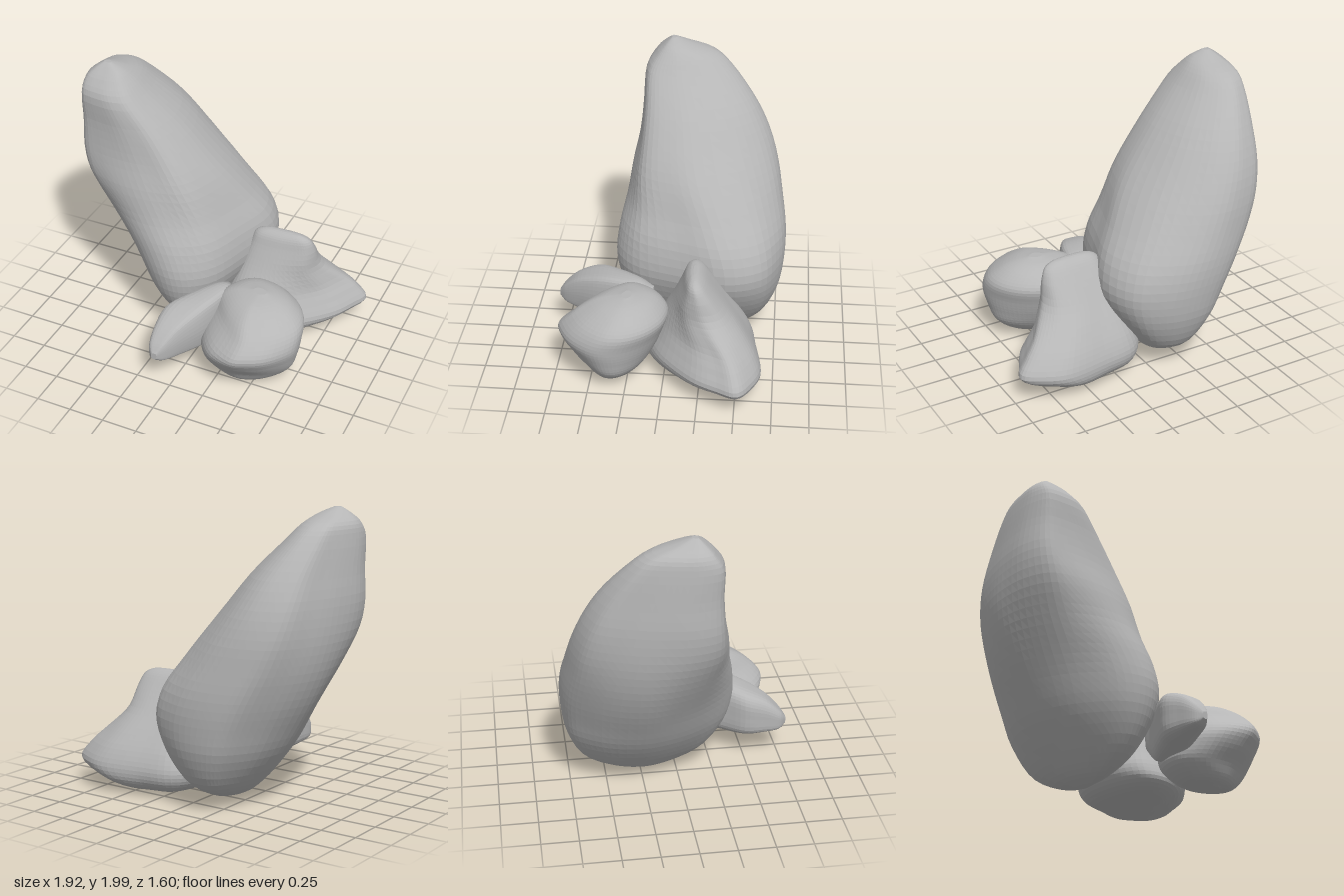
import * as THREE from 'three';

const stone = new THREE.MeshStandardMaterial({ color: 0xb6b6b6, flatShading: true });
stone.name = 'grey stone';

// Plan outlines in a -1..1 square, running from +a towards +b.
const leaningLow = [
  [1, -0.33], [0.84, 0.18], [0.63, 0.68], [0.32, 0.95], [0, 1], [-0.38, 0.87], [-0.7, 0.56], [-0.92, 0.2],
  [-1, -0.1], [-0.88, -0.5], [-0.64, -0.8], [-0.37, -0.95], [0, -1], [0.42, -0.93], [0.83, -0.75],
];
const leaningHigh = [
  [1, 0.15], [0.93, 0.58], [0.72, 0.89], [0.32, 0.99], [-0.15, 1], [-0.55, 0.96], [-0.86, 0.84], [-1, 0.48],
  [-0.94, 0], [-0.82, -0.42], [-0.63, -0.79], [-0.36, -0.95], [0, -1], [0.42, -0.85], [0.8, -0.45],
];
const peakedLow = [
  [1, -0.62], [0.9, -0.28], [0.67, 0.2], [0.15, 0.77], [-0.35, 1], [-0.8, 0.9],
  [-1, 0.4], [-0.97, -0.3], [-0.72, -0.76], [-0.2, -0.9], [0.38, -1], [0.75, -0.86],
];
const peakedHigh = [
  [1, -0.3], [0.97, 0.15], [0.75, 0.62], [0.2, 0.92], [-0.35, 1], [-0.8, 0.85],
  [-1, 0.3], [-0.95, -0.3], [-0.7, -0.76], [-0.2, -0.92], [0.38, -1], [0.82, -0.8],
];
const roundedLow = [
  [1, -0.05], [0.93, 0.3], [0.6, 0.7], [0.2, 0.93], [-0.15, 1], [-0.62, 0.84], [-0.95, 0.4],
  [-1, 0], [-0.9, -0.45], [-0.68, -0.82], [-0.3, -1], [0.2, -0.94], [0.6, -0.72], [0.88, -0.4],
];
const roundedHigh = [
  [1, -0.05], [0.95, 0.3], [0.66, 0.7], [0.3, 0.93], [0, 0.98], [-0.46, 0.66], [-0.82, 0.25],
  [-1, -0.1], [-0.88, -0.5], [-0.65, -0.82], [-0.3, -1], [0.2, -0.94], [0.6, -0.72], [0.88, -0.4],
];
const slabOutline = [
  [1, 0.1], [0.95, 0.7], [0.7, 0.97], [0, 0.98], [-0.7, 0.85], [-0.95, 0.5],
  [-1, -0.1], [-0.92, -0.7], [-0.6, -0.95], [0, -1], [0.7, -0.85], [0.93, -0.5],
];

// Lofts a closed boulder through rows of [h, aMin, aMax, bMin, bMax].
// The low outline changes into the high one between the two blend heights.
// along 'y': a = x, b = z, rows rise. along 'z': a = x, b = y, rows run front to back.
function boulder(name, low, high, rows, { along = 'y', blend = [0, 1], ripple = 0, rings = 36, sides = 60 } = {}) {
  const spline = (points, closed) => new THREE.CatmullRomCurve3(points, closed, 'catmullrom', 0.5);
  const widths = spline(rows.map(([h, a0, a1]) => new THREE.Vector3(h, a0, a1)), false);
  const depths = spline(rows.map(([h, , , b0, b1]) => new THREE.Vector3(h, b0, b1)), false);
  const [lowLoop, highLoop] = [low, high].map((o) => spline(o.map(([a, b]) => new THREE.Vector3(a, b, 0)), true));
  const pos = [], index = [];
  const put = (a, b, h) => (along === 'y' ? pos.push(a, h, b) : pos.push(a, b, h));

  for (let i = 0; i <= rings; i++) {
    const { x: h, y: a0, z: a1 } = widths.getPoint(i / rings);
    const { y: b0, z: b1 } = depths.getPoint(i / rings);
    const mix = THREE.MathUtils.smoothstep(h, blend[0], blend[1]);
    for (let j = 0; j < sides; j++) {
      const t = (j / sides) * Math.PI * 2;
      const p = lowLoop.getPoint(j / sides).lerp(highLoop.getPoint(j / sides), mix);
      // shallow lengthwise grooves and uneven bands
      const s = 1 + ripple * (Math.sin(7 * t + i * 0.12) * 0.6 + Math.sin(3 * t - i * 0.45) * 0.4);
      put((a0 + a1) / 2 + ((a1 - a0) / 2) * p.x * s, (b0 + b1) / 2 + ((b1 - b0) / 2) * p.y * s, h);
    }
  }
  for (let i = 0; i < rings; i++) {
    for (let j = 0; j < sides; j++) {
      const a = i * sides + j, d = i * sides + ((j + 1) % sides);
      index.push(a, a + sides, d + sides, a, d + sides, d);
    }
  }
  // close both ends
  const last = rings * sides, n = pos.length / 3;
  for (const r of [rows[0], rows[rows.length - 1]]) put((r[1] + r[2]) / 2, (r[3] + r[4]) / 2, r[0]);
  for (let j = 0; j < sides; j++) {
    const k = (j + 1) % sides;
    index.push(n, j, k, n + 1, last + k, last + j);
  }

  const geometry = new THREE.BufferGeometry();
  geometry.setAttribute('position', new THREE.Float32BufferAttribute(pos, 3));
  geometry.setIndex(index);
  geometry.computeVertexNormals();
  const mesh = new THREE.Mesh(geometry, stone);
  mesh.name = name;
  return mesh;
}

export function createModel() {
  const group = new THREE.Group();
  group.name = 'rockCluster';

  // tall stone leaning to the right
  group.add(boulder('leaningStone', leaningLow, leaningHigh, [
    [0.04, -0.19, -0.12, -0.28, -0.14],
    [0.09, -0.29, -0.04, -0.49, 0.03],
    [0.2, -0.40, 0.06, -0.67, 0.21],
    [0.4, -0.56, 0.20, -0.77, 0.34],
    [0.6, -0.68, 0.28, -0.80, 0.39],
    [0.8, -0.79, 0.25, -0.80, 0.37],
    [1.0, -0.88, 0.13, -0.77, 0.32],
    [1.2, -0.94, 0.0, -0.73, 0.29],
    [1.4, -0.96, -0.15, -0.66, 0.25],
    [1.6, -0.95, -0.31, -0.55, 0.23],
    [1.8, -0.94, -0.50, -0.39, 0.22],
    [1.9, -0.92, -0.59, -0.27, 0.16],
    [1.96, -0.86, -0.66, -0.10, 0.10],
    [2.0, -0.80, -0.75, 0.01, 0.05],
  ], { blend: [0.6, 1.45], ripple: 0.01, rings: 44 }));

  // peaked stone at the back left, with a low pointed corner
  group.add(boulder('peakedStone', peakedLow, peakedHigh, [
    [0.01, 0.30, 0.50, -0.36, -0.10],
    [0.04, 0.14, 0.64, -0.54, 0.04],
    [0.1, 0.04, 0.82, -0.64, 0.13],
    [0.19, 0.0, 0.96, -0.67, 0.12],
    [0.3, 0.03, 0.90, -0.63, 0.07],
    [0.42, 0.08, 0.79, -0.55, 0.02],
    [0.56, 0.13, 0.68, -0.44, -0.05],
    [0.7, 0.18, 0.65, -0.34, -0.11],
    [0.78, 0.22, 0.62, -0.28, -0.14],
    [0.815, 0.28, 0.56, -0.24, -0.17],
    [0.825, 0.36, 0.48, -0.215, -0.195],
  ], { blend: [0.35, 0.65] }));

  // rounded stone at the front left
  group.add(boulder('roundedStone', roundedLow, roundedHigh, [
    [0.01, 0.37, 0.46, 0.33, 0.46],
    [0.05, 0.22, 0.62, 0.20, 0.53],
    [0.14, 0.10, 0.73, 0.11, 0.59],
    [0.25, 0.10, 0.77, 0.05, 0.68],
    [0.36, 0.12, 0.79, 0.01, 0.73],
    [0.47, 0.14, 0.78, -0.02, 0.64],
    [0.55, 0.18, 0.70, 0.03, 0.53],
    [0.6, 0.27, 0.60, 0.11, 0.42],
    [0.625, 0.40, 0.50, 0.22, 0.29],
  ], { blend: [0.25, 0.5] }));

  // small flat stone wedged in front
  group.add(boulder('smallStone', slabOutline, slabOutline, [
    [0.8, -0.11, -0.07, 0.25, 0.30],
    [0.75, -0.15, -0.02, 0.21, 0.37],
    [0.65, -0.165, 0.05, 0.19, 0.46],
    [0.5, -0.16, 0.14, 0.17, 0.53],
    [0.35, -0.06, 0.20, 0.17, 0.56],
    [0.2, 0.05, 0.225, 0.18, 0.56],
    [0.1, 0.10, 0.17, 0.28, 0.50],
  ], { along: 'z', ripple: 0.015, rings: 28, sides: 40 }));

  return group;
}
